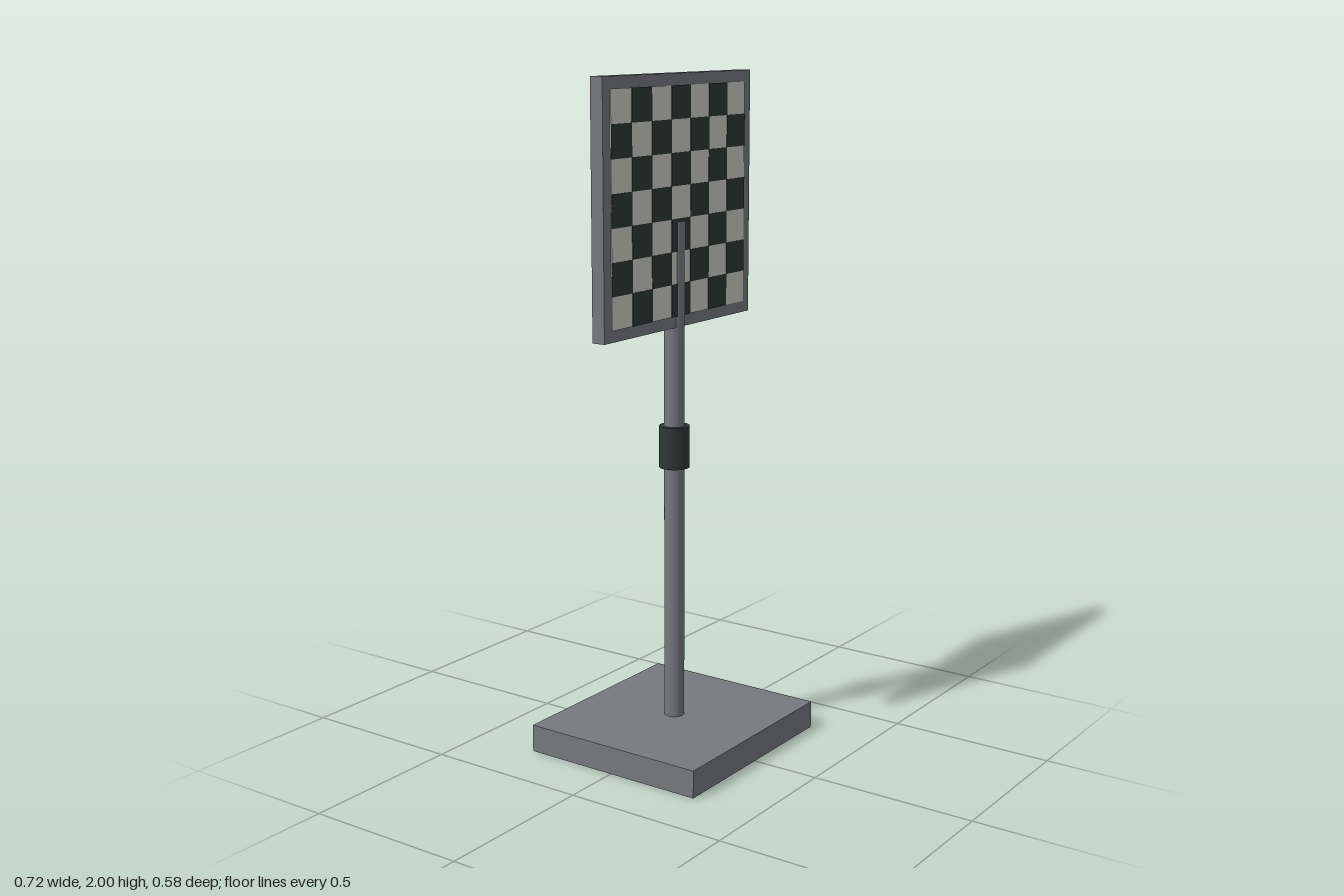
import * as THREE from 'three';

const mat = (name, color) => {
  const m = new THREE.MeshStandardMaterial({ color });
  m.name = name;
  return m;
};

export function createModel() {
  const group = new THREE.Group();
  const grey = mat('steel grey', 0x757a7e);
  const frameGrey = mat('frame grey', 0x77787f);
  const dark = mat('charcoal', 0x2d3735);
  const light = mat('off white', 0xcbcbc7);

  const add = (parent, name, geometry, material, x, y, z) => {
    const mesh = new THREE.Mesh(geometry, material);
    mesh.name = name;
    mesh.position.set(x, y, z);
    parent.add(mesh);
  };

  // Stand: slab base, round pole and clamp collar
  add(group, 'base', new THREE.BoxGeometry(0.643, 0.083, 0.584), grey, 0, 0.0415, 0);
  add(group, 'pole', new THREE.CylinderGeometry(0.03, 0.03, 1.5, 32), grey, 0, 0.833, 0);
  add(group, 'collar', new THREE.CylinderGeometry(0.045, 0.045, 0.125, 32), dark, 0, 0.92, 0);

  // Target board with the pole passing through its lower half
  const size = 0.722;
  const centreY = 2 - size / 2;
  add(group, 'board', new THREE.BoxGeometry(size, size, 0.041), frameGrey, 0, centreY, 0);

  // Light face plate with dark squares on every other cell
  const checker = new THREE.Group();
  checker.name = 'checkerPattern';
  group.add(checker);
  const count = 7, cell = 0.0936;
  add(checker, 'lightPlate', new THREE.BoxGeometry(count * cell, count * cell, 0.003),
    light, 0, centreY, 0.0215);
  const square = new THREE.BoxGeometry(cell, cell, 0.003);
  const middle = (count - 1) / 2;
  for (let row = 0; row < count; row++) {
    for (let col = 0; col < count; col++) {
      if ((row + col) % 2 === 0) continue;
      add(checker, 'darkSquare', square, dark,
        (col - middle) * cell, centreY + (row - middle) * cell, 0.0232);
    }
  }
  return group;
}
